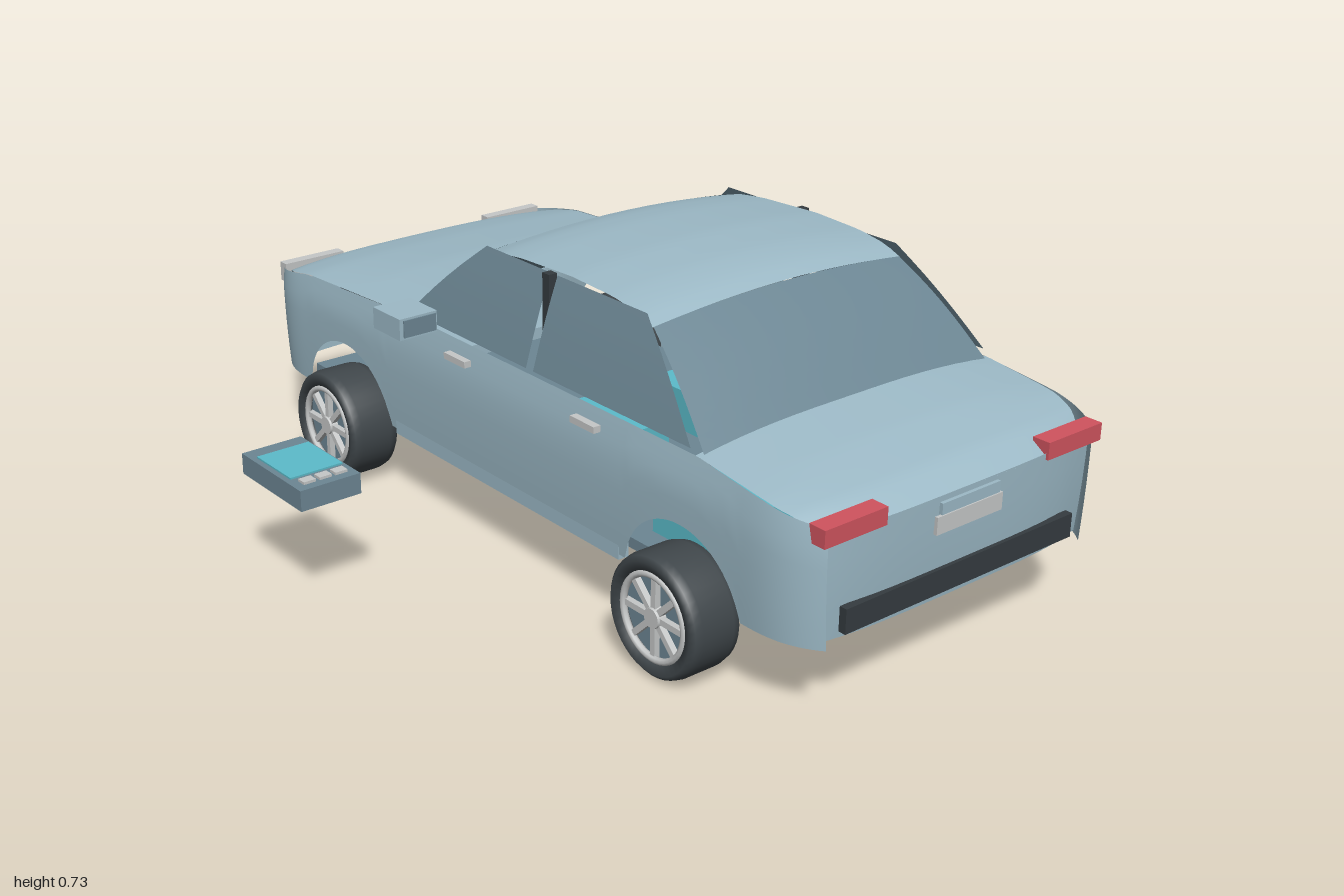
import * as THREE from 'three';

const CX = 0.196; // car centre line in x
const paint = (name, color, two) => {
  const m = new THREE.MeshStandardMaterial({ color });
  m.name = name;
  if (two) m.side = THREE.DoubleSide;
  return m;
};

// Piecewise linear lookup through [position, value] pairs
function along(points, t) {
  for (let i = 1; i < points.length; i++) {
    const [a, va] = points[i - 1], [b, vb] = points[i];
    if (t <= b) return va + (vb - va) * Math.max(0, (t - a) / (b - a));
  }
  return points[points.length - 1][1];
}

// Curved sheet from a rule fn(u, v) -> [x, y, z]
function sheet(nu, nv, fn) {
  const pos = [], idx = [];
  for (let i = 0; i <= nu; i++) for (let j = 0; j <= nv; j++) pos.push(...fn(i / nu, j / nv));
  for (let i = 0; i < nu; i++) for (let j = 0; j < nv; j++) {
    const a = i * (nv + 1) + j, b = a + nv + 1;
    idx.push(a, b, a + 1, b, b + 1, a + 1);
  }
  const g = new THREE.BufferGeometry();
  g.setAttribute('position', new THREE.Float32BufferAttribute(pos, 3));
  g.setIndex(idx);
  g.computeVertexNormals();
  return g;
}

export function createModel() {
  const model = new THREE.Group();
  const car = new THREE.Group();
  car.name = 'car';
  car.position.x = CX;
  model.add(car);

  const body = paint('bodyBlue', 0x9dbac7, true);
  const glass = paint('glass', 0x6d8794, true);
  const rubber = paint('rubber', 0x40474b);
  const silver = paint('silver', 0xc6c8c8);
  const red = paint('lampRed', 0xd0545f);
  const teal = paint('teal', 0x5cbccb);
  const black = paint('blackTrim', 0x353c40);

  const add = (name, geo, mat, parent = car) => {
    const m = new THREE.Mesh(geo, mat);
    m.name = name;
    parent.add(m);
    return m;
  };
  // Box given by its limits
  const box = (name, mat, x0, x1, y0, y1, z0, z1, parent = car) => {
    const m = add(name, new THREE.BoxGeometry(x1 - x0, y1 - y0, z1 - z0), mat, parent);
    m.position.set((x0 + x1) / 2, (y0 + y1) / 2, (z0 + z1) / 2);
    return m;
  };
  // Same box on both sides of the car
  const pair = (name, mat, x0, x1, ...r) => {
    box(name, mat, x0, x1, ...r);
    box(name, mat, -x1, -x0, ...r);
  };

  // Plan half width, belt height and wheel arch rules
  const half = z => 0.44 - 0.05 * Math.pow(Math.max(0, Math.abs(z) - 0.8) / 0.18, 3);
  const belt = z => along([[-0.97, 0.435], [-0.8, 0.465], [-0.35, 0.487], [0.66, 0.487], [0.85, 0.465], [0.99, 0.44]], z);
  const sill = z => {
    let y = 0.18;
    for (const [c, r] of [[-0.615, 0.185], [0.625, 0.177]]) {
      const d = Math.abs(z - c);
      if (d < r) y = Math.max(y, 0.152 + Math.sqrt(r * r - d * d));
    }
    return y;
  };

  // Body sides with wheel arches
  for (const s of [-1, 1]) {
    add('bodySide', sheet(160, 6, (u, v) => {
      const z = -0.965 + 1.95 * u, y = sill(z) + (belt(z) - sill(z)) * v;
      return [s * (half(z) - 0.35 * Math.pow(Math.max(0, y - 0.4), 1.3) - 0.2 * Math.pow(0.4 - Math.min(y, 0.4), 2)), y, z];
    }), body);
  }

  // Bonnet and boot: crowned panels that meet the belt line
  const lid = (name, profile) => {
    const z0 = profile[0][0], z1 = profile[profile.length - 1][0];
    add(name, sheet(20, 16, (u, v) => {
      const z = z0 + (z1 - z0) * u, t = v * 2 - 1, yc = along(profile, z);
      const zz = z - Math.sign(z) * 0.02 * Math.pow(t, 4) * Math.min(1, Math.max(0, Math.abs(z) - 0.8) / 0.15);
      const edge = Math.min(belt(z), yc - 0.01);
      return [t * (half(z) - 0.014), yc - (yc - edge) * Math.pow(Math.abs(t), 2.5), zz];
    }), body);
  };
  lid('bonnet', [[-0.975, 0.425], [-0.93, 0.455], [-0.8, 0.48], [-0.6, 0.503], [-0.35, 0.516]]);
  lid('bootLid', [[0.655, 0.51], [0.8, 0.488], [0.93, 0.457], [0.99, 0.42]]);

  // End panels
  for (const [name, zc] of [['noseOfBody', -0.975], ['tailOfBody', 0.99]]) {
    add(name, sheet(16, 4, (u, v) => {
      const t = u * 2 - 1;
      const z = zc - Math.sign(zc) * (0.025 * Math.pow(t, 4) + 0.012 * (1 - v) * (1 - v));
      return [t * 0.4, 0.185 + 0.238 * v, z];
    }), body);
  }

  // Roof
  const roofLine = [[-0.135, 0.702], [-0.08, 0.718], [0, 0.728], [0.18, 0.735], [0.32, 0.729], [0.4, 0.716], [0.445, 0.698]];
  add('roof', sheet(20, 12, (u, v) => {
    const z = -0.135 + 0.58 * u, t = v * 2 - 1;
    return [t * 0.36, along(roofLine, z) - 0.022 * t * t, z];
  }), body);

  // Windscreen and rear window
  const screen = (name, zb, yb, hb, zt, yt) => add(name, sheet(8, 12, (u, v) => {
    const t = v * 2 - 1;
    return [t * (hb + (0.358 - hb) * u), yb + (yt - yb) * u + 0.012 * Math.sin(Math.PI * u) - 0.02 * t * t, zb + (zt - zb) * u];
  }), glass);
  screen('windscreen', -0.357, 0.515, 0.405, -0.135, 0.701);
  screen('rearWindow', 0.665, 0.508, 0.412, 0.445, 0.697);

  // Side windows, one front and one rear pane per side
  for (const s of [-1, 1]) for (const [b0, b1, t0, t1] of [[-0.34, 0.11, -0.12, 0.11], [0.135, 0.645, 0.135, 0.43]]) {
    add('sideWindow', sheet(6, 6, (u, v) => [
      s * (0.43 - 0.068 * v), 0.5 + 0.203 * v + 0.008 * Math.sin(Math.PI * v),
      (b0 + (b1 - b0) * u) * (1 - v) + (t0 + (t1 - t0) * u) * v
    ]), glass);
  }
  pair('doorPillar', black, 0.362, 0.384, 0.5, 0.708, 0.11, 0.133);

  // Door mirrors
  pair('doorMirror', body, 0.434, 0.535, 0.487, 0.538, -0.328, -0.22);
  pair('mirrorGlass', glass, 0.438, 0.525, 0.492, 0.533, -0.22, -0.217);

  // Door handles
  for (const z of [-0.17, 0.29]) pair('doorHandle', silver, 0.434, 0.452, 0.441, 0.456, z, z + 0.08);

  // Lamps
  pair('tailLamp', red, 0.236, 0.404, 0.409, 0.448, 0.95, 0.993);
  pair('headLamp', silver, 0.232, 0.404, 0.398, 0.447, -0.973, -0.945);

  // Rear trim and number plates
  box('rearBumperStrip', black, -0.335, 0.335, 0.205, 0.26, 0.975, 0.993);
  box('rearPlate', silver, -0.096, 0.096, 0.343, 0.382, 0.98, 0.997);
  box('bootHandle', body, -0.085, 0.085, 0.385, 0.41, 0.98, 0.998);
  box('frontPlate', silver, -0.09, 0.09, 0.22, 0.25, -1, -0.975);

  // Grille with horizontal and upright bars
  box('grille', black, -0.23, 0.23, 0.225, 0.36, -0.993, -0.965);
  for (let i = 0; i < 5; i++) {
    const y = 0.25 + i * 0.022;
    box('grilleBar', silver, -0.21, 0.21, y, y + 0.005, -0.997, -0.992);
  }
  for (const y of [0.225, 0.352]) box('grilleFrame', black, -0.23, 0.23, y, y + 0.008, -1, -0.985);
  pair('grilleFrame', black, 0.222, 0.23, 0.225, 0.36, -1, -0.985);

  // Underbody
  box('floor', glass, -0.385, 0.385, 0.175, 0.2, -0.85, 0.87);
  pair('rocker', body, 0.405, 0.432, 0.168, 0.205, -0.41, 0.43);
  box('engineBlock', body, -0.25, 0.25, 0.265, 0.295, -0.72, -0.5);

  // Seats
  box('rearSeat', teal, -0.33, 0.33, 0.2, 0.305, 0.42, 0.65);
  pair('frontSeat', teal, 0.07, 0.33, 0.2, 0.3, -0.06, 0.17);

  // Wheels, axle along x, outer face at +x
  const tyreGeo = new THREE.LatheGeometry([
    [0.1, -0.055], [0.122, -0.067], [0.132, -0.058], [0.1365, -0.04],
    [0.1365, 0.04], [0.132, 0.058], [0.122, 0.067], [0.1, 0.058], [0.1, -0.055]
  ].map(p => new THREE.Vector2(...p)), 40).rotateZ(-Math.PI / 2);
  const discGeo = new THREE.CylinderGeometry(0.1, 0.1, 0.08, 32).rotateZ(Math.PI / 2);
  const ringGeo = new THREE.TorusGeometry(0.094, 0.008, 8, 40).rotateY(Math.PI / 2);
  const hubGeo = new THREE.CylinderGeometry(0.022, 0.026, 0.02, 20).rotateZ(-Math.PI / 2);
  const spokeGeo = new THREE.BoxGeometry(0.014, 0.076, 0.014).translate(0, 0.054, 0);
  for (const z of [-0.615, 0.622]) {
    for (const s of [-1, 1]) {
      const wheel = new THREE.Group();
      wheel.name = 'wheel';
      add('tyre', tyreGeo, rubber, wheel);
      add('brakeDisc', discGeo, glass, wheel);
      add('rimRing', ringGeo, silver, wheel).position.x = 0.055;
      add('hub', hubGeo, silver, wheel).position.x = 0.052;
      for (let i = 0; i < 8; i++) {
        const spoke = add('spoke', spokeGeo, silver, wheel);
        spoke.position.x = 0.05;
        spoke.rotation.x = i * Math.PI / 4;
      }
      wheel.position.set(s * 0.444, 0.1375, z);
      if (s < 0) wheel.rotation.y = Math.PI;
      car.add(wheel);
    }
    const axle = add('axle', new THREE.CylinderGeometry(0.012, 0.012, 0.78, 12).rotateZ(Math.PI / 2), glass);
    axle.position.set(0, 0.139, z);
  }

  // Separate handheld console beside the car
  const consoleUnit = new THREE.Group();
  consoleUnit.name = 'console';
  model.add(consoleUnit);
  box('consoleCase', glass, -0.735, -0.587, 0.262, 0.31, -0.255, -0.01, consoleUnit);
  box('consoleScreen', teal, -0.722, -0.593, 0.31, 0.314, -0.212, -0.072, consoleUnit);
  for (let i = 0; i < 3; i++) {
    const x = -0.713 + i * 0.039;
    box('consoleButton', silver, x, x + 0.03, 0.31, 0.316, -0.055, -0.032, consoleUnit);
  }
  return model;
}
